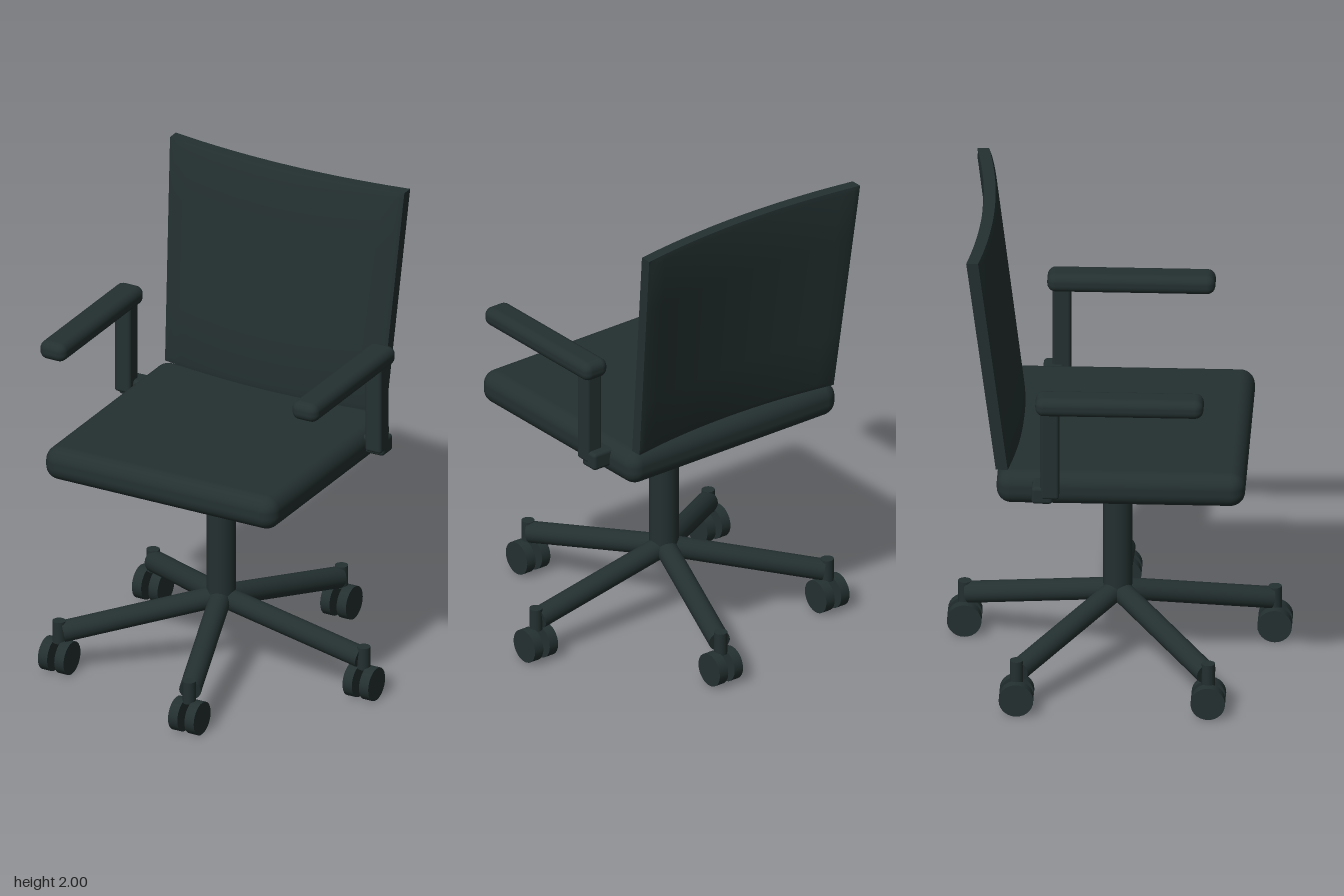
import * as THREE from 'three';
import { mergeVertices, toCreasedNormals } from 'three/addons/utils/BufferGeometryUtils.js';
import { RoundedBoxGeometry } from 'three/addons/geometries/RoundedBoxGeometry.js';

const charcoal = new THREE.MeshStandardMaterial({ color: 0x243030 });
charcoal.name = 'charcoal';

const AXIS_X = -0.042; // the chair turns about this line

function add(parent, name, geometry, x = 0, y = 0, z = 0) {
  const mesh = new THREE.Mesh(geometry, charcoal);
  mesh.name = name;
  mesh.position.set(x, y, z);
  parent.add(mesh);
  return mesh;
}

// Curved, tapered and leaning panel with softened rims
function backrestGeometry() {
  const nx = 18, ny = 6;
  const geo = new THREE.BoxGeometry(2, 2, 2, nx, ny, 1);
  geo.deleteAttribute('uv');
  geo.deleteAttribute('normal');
  const pos = geo.attributes.position;
  // pull the outermost rows close to the rim
  const tighten = (v, n, inner) => (Math.abs(v) > 0.999 ? v : (v / (1 - 2 / n)) * inner);
  for (let i = 0; i < pos.count; i++) {
    const rim = Math.max(Math.abs(pos.getX(i)), Math.abs(pos.getY(i))) > 0.999;
    const u = tighten(pos.getX(i), nx, 0.95);
    const t = (tighten(pos.getY(i), ny, 0.95) + 1) / 2;
    const halfWidth = THREE.MathUtils.lerp(0.5, 0.543, t);
    const middle = THREE.MathUtils.lerp(-0.403, -0.521, t) - 0.046 * u * u;
    const halfDepth = rim ? 0.024 : 0.03;
    pos.setXYZ(i, u * halfWidth, 1.06 + 0.94 * t, middle + pos.getZ(i) * halfDepth);
  }
  return toCreasedNormals(mergeVertices(geo), 0.8);
}

// Cylinder between two points
function rod(parent, name, from, to, radius) {
  const dir = to.clone().sub(from);
  const mesh = add(parent, name, new THREE.CylinderGeometry(radius, radius, dir.length(), 20));
  mesh.position.copy(from).add(to).multiplyScalar(0.5);
  mesh.quaternion.setFromUnitVectors(new THREE.Vector3(0, 1, 0), dir.normalize());
  return mesh;
}

export function createModel() {
  const chair = new THREE.Group();
  chair.name = 'officeChair';
  const body = new THREE.Group();
  body.name = 'chairBody';
  body.position.x = AXIS_X;
  chair.add(body);

  // Seat and backrest
  add(body, 'seat', new RoundedBoxGeometry(1.073, 0.143, 1.005, 5, 0.06), 0, 0.983, 0.032);
  add(body, 'backrest', backrestGeometry());

  // Armrests, mirrored
  for (const [side, s] of [['left', 1], ['right', -1]]) {
    const arm = new THREE.Group();
    arm.name = side + 'Armrest';
    body.add(arm);
    add(arm, 'armPad', new RoundedBoxGeometry(0.12, 0.08, 0.68, 4, 0.034), s * 0.584, 1.4, 0.031);
    add(arm, 'armPost', new RoundedBoxGeometry(0.074, 0.41, 0.074, 3, 0.012), s * 0.581, 1.189, -0.25);
    add(arm, 'armBracket', new RoundedBoxGeometry(0.16, 0.075, 0.085, 3, 0.015), s * 0.535, 0.998, -0.282);
  }

  // Centre column and hub
  add(body, 'column', new THREE.CylinderGeometry(0.06, 0.06, 0.615, 28), 0, 0.5975, 0);
  add(body, 'hub', new THREE.SphereGeometry(0.047, 20, 12), 0, 0.3, 0);

  // Five-legged base with twin-wheel casters
  const wheelGeo = new THREE.CylinderGeometry(0.07, 0.07, 0.043, 28).rotateZ(Math.PI / 2);
  const stemGeo = new THREE.CylinderGeometry(0.027, 0.027, 0.095, 18);
  for (let i = 0; i < 5; i++) {
    const a = (i * Math.PI * 2) / 5;
    const at = (r, y) => new THREE.Vector3(r * Math.cos(a), y, r * Math.sin(a));
    rod(body, 'baseLeg', at(0, 0.302), at(0.645, 0.176), 0.045);
    const caster = new THREE.Group();
    caster.name = 'caster';
    caster.position.copy(at(0.66, 0));
    body.add(caster);
    add(caster, 'casterStem', stemGeo, 0, 0.178, 0);
    for (const s of [-1, 1]) add(caster, 'wheel', wheelGeo, s * 0.038, 0.07, 0);
  }
  return chair;
}
